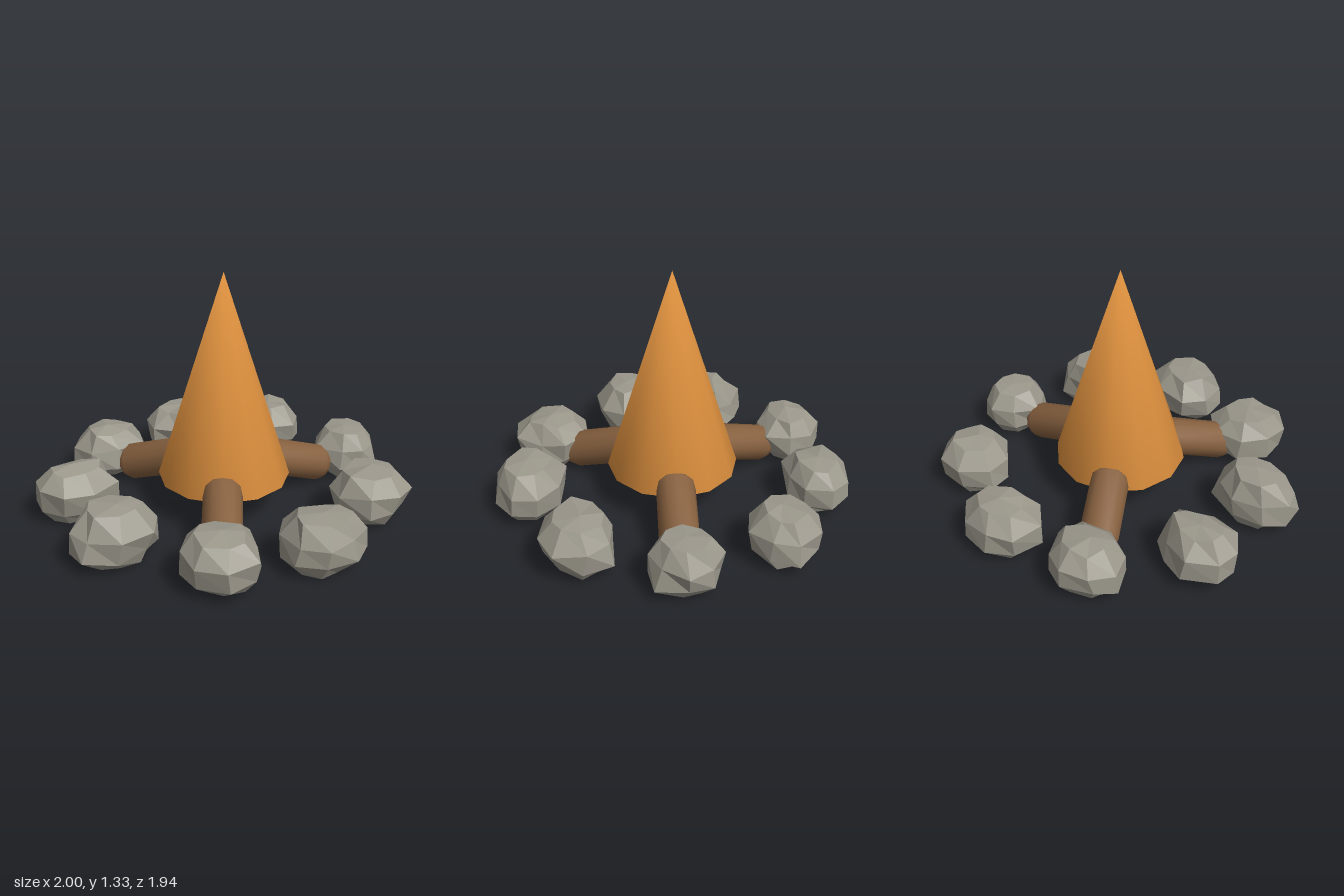
import * as THREE from 'three';
import { mergeVertices } from 'three/addons/utils/BufferGeometryUtils.js';

const flameMat = new THREE.MeshStandardMaterial({ name: 'flame orange', color: 0xe39440 });
const emberMat = new THREE.MeshStandardMaterial({ name: 'ember pale yellow', color: 0xe8dfa0 });
const woodMat = new THREE.MeshStandardMaterial({ name: 'wood brown', color: 0x86603f });
const stoneMat = new THREE.MeshStandardMaterial({ name: 'stone grey', color: 0x9b978b });

let seed = 7;
const random = () => {
  seed = (seed * 16807) % 2147483647;
  return seed / 2147483647;
};

// Closed surface of revolution whose normals blend across every edge
function smoothLathe(points, sides) {
  let geo = new THREE.LatheGeometry(points.map(p => new THREE.Vector2(...p)), sides);
  geo.deleteAttribute('uv');
  geo.deleteAttribute('normal');
  geo = mergeVertices(geo, 1e-4);
  geo.computeVertexNormals();
  return geo;
}

function addMesh(group, name, geo, mat) {
  const mesh = new THREE.Mesh(geo, mat);
  mesh.name = name;
  group.add(mesh);
  return mesh;
}

// Boxy rock: jittered sphere with a flat underside, fitted to x, y and z limits
function stoneGeometry(x0, x1, z0, z1, top) {
  let geo = new THREE.SphereGeometry(1, 8, 5, random() * 6);
  geo.deleteAttribute('uv');
  geo.deleteAttribute('normal');
  geo = mergeVertices(geo, 1e-4);
  const pos = geo.attributes.position;
  const v = new THREE.Vector3();
  for (let i = 0; i < pos.count; i++) {
    v.fromBufferAttribute(pos, i);
    const s = 0.9 + random() * 0.2;
    v.x = v.x * s + (random() - 0.5) * 0.16;
    v.z = v.z * s + (random() - 0.5) * 0.16;
    v.y = THREE.MathUtils.clamp(v.y * 1.1 + (random() - 0.5) * 0.16, -0.8, 1);
    pos.setXYZ(i, v.x, v.y, v.z);
  }
  geo.computeBoundingBox();
  const { min, max } = geo.boundingBox;
  const fit = THREE.MathUtils.mapLinear;
  for (let i = 0; i < pos.count; i++) {
    pos.setXYZ(i,
      fit(pos.getX(i), min.x, max.x, x0, x1),
      fit(pos.getY(i), min.y, max.y, 0.01, top),
      fit(pos.getZ(i), min.z, max.z, z0, z1));
  }
  geo = geo.toNonIndexed();
  geo.computeVertexNormals();
  return geo;
}

export function createModel() {
  const model = new THREE.Group();
  model.name = 'campfire';
  const cx = -0.02;

  // Flame
  const flame = addMesh(model, 'flame', smoothLathe([[0, 0.2], [0.36, 0.2], [0, 1.335]], 12), flameMat);
  flame.position.x = cx;

  // Glowing core just showing under the flame
  const core = addMesh(model, 'flameCore', smoothLathe([[0, 0.19], [0.12, 0.19], [0, 0.6]], 12), emberMat);
  core.position.x = cx;

  // Three leaning logs
  const inner = new THREE.Vector3(0.24, 0.25, 0);
  const outer = new THREE.Vector3(0.67, 0.095, 0);
  const axis = outer.clone().sub(inner);
  const h = axis.length() / 2;
  const logGeo = smoothLathe([
    [0, -h], [0.06, -h], [0.09, -h + 0.02], [0.105, -h + 0.06],
    [0.105, h - 0.06], [0.09, h - 0.02], [0.06, h], [0, h],
  ], 12);
  for (let i = 0; i < 3; i++) {
    const holder = new THREE.Group();
    holder.name = 'logHolder';
    holder.position.x = cx;
    holder.rotation.y = (i * Math.PI * 2) / 3;
    const log = addMesh(holder, 'log', logGeo, woodMat);
    log.position.copy(inner).add(outer).multiplyScalar(0.5);
    log.quaternion.setFromUnitVectors(new THREE.Vector3(0, 1, 0), axis.clone().normalize());
    model.add(holder);
  }

  // Ring of stones: x range, z range, top
  const stones = [
    [0.6, 1.0, -0.21, 0.17, 0.3],
    [0.37, 0.81, 0.33, 0.71, 0.31],
    [-0.11, 0.33, 0.59, 0.97, 0.31],
    [-0.61, -0.21, 0.48, 0.9, 0.3],
    [-1.0, -0.55, 0.06, 0.43, 0.32],
    [-0.99, -0.55, -0.48, -0.1, 0.31],
    [-0.63, -0.2, -0.9, -0.51, 0.3],
    [-0.11, 0.34, -0.97, -0.61, 0.29],
    [0.38, 0.81, -0.72, -0.34, 0.31],
  ];
  for (const s of stones) addMesh(model, 'stone', stoneGeometry(...s), stoneMat);

  return model;
}
